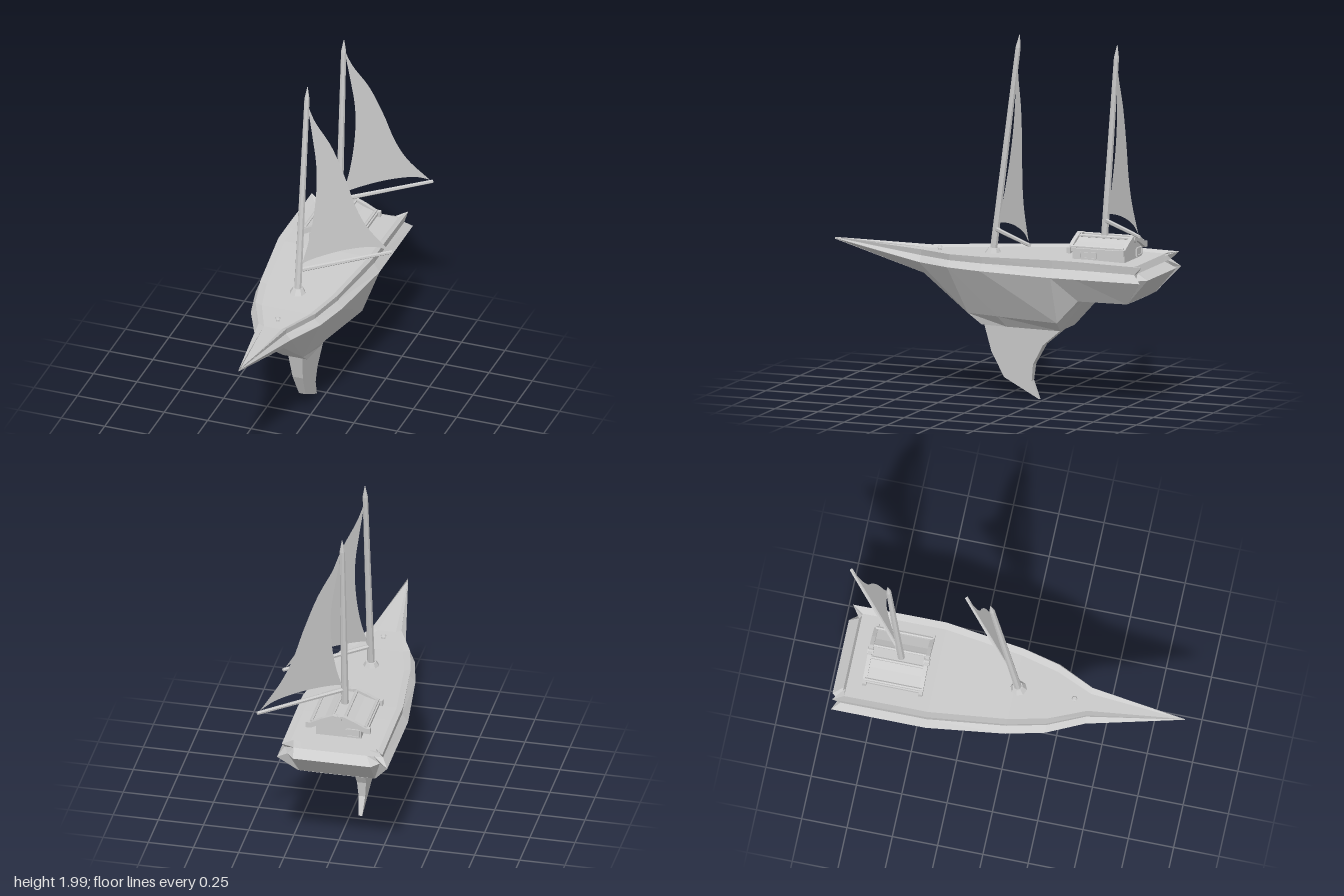
import * as THREE from 'three';

const CX = -0.055; // centreline of the boat
const mat = new THREE.MeshStandardMaterial({ color: 0xcccccc, flatShading: true });
const thinMat = new THREE.MeshStandardMaterial({ color: 0xcccccc, side: THREE.DoubleSide });

function add(parent, name, geo, material = mat) {
  const m = new THREE.Mesh(geo, material);
  m.name = name;
  parent.add(m);
  return m;
}

// Tapered rod between two points
function rod(parent, name, a, b, r0, r1, sides = 8) {
  const dir = new THREE.Vector3().subVectors(b, a);
  const m = add(parent, name, new THREE.CylinderGeometry(r1, r0, dir.length(), sides));
  m.position.addVectors(a, b).multiplyScalar(0.5);
  m.quaternion.setFromUnitVectors(new THREE.Vector3(0, 1, 0), dir.normalize());
  return m;
}

function box(parent, name, w, h, d, x, y, z) {
  const m = add(parent, name, new THREE.BoxGeometry(w, h, d));
  m.position.set(x, y, z);
  return m;
}

// Hull lofted from bow to stern; each row holds z, half width, y of rail,
// y of rim, then z, half width, y of bilge and of keel
function hullGeometry() {
  const stations = [
    [0.97, 0, 0.815, 0.822, 0.97, 0, 0.812, 0.97, 0, 0.812],
    [0.44, 0.105, 0.735, 0.802, 0.43, 0.06, 0.67, 0.43, 0.05, 0.668],
    [0.24, 0.2, 0.735, 0.803, 0.17, 0.075, 0.47, 0.09, 0.07, 0.41],
    [0.03, 0.25, 0.735, 0.81, -0.02, 0.122, 0.47, -0.06, 0.085, 0.41],
    [-0.4, 0.305, 0.735, 0.828, -0.4, 0.205, 0.47, -0.38, 0.11, 0.41],
    [-0.54, 0.305, 0.735, 0.828, -0.53, 0.225, 0.602, -0.53, 0.11, 0.6],
    [-0.92, 0.305, 0.735, 0.82, -0.81, 0.215, 0.602, -0.81, 0.11, 0.6],
    [-0.88, 0.255, 0.74, 0.815, -0.81, 0.21, 0.602, -0.81, 0.11, 0.6],
    [-0.93, 0.215, 0.74, 0.812, -0.81, 0.205, 0.602, -0.81, 0.11, 0.6],
  ];
  const rings = stations.map(([z, w, y, top, bz, bw, by, kz, kw, ky], i) => {
    const inset = Math.min(0.03, w * 0.25);
    const g = y + (top - y) * 0.5;
    const tz = i < 6 ? z : i === 6 ? -0.92 : -0.86;
    const gz = i < 6 ? z : -0.875;
    const half = [
      [w - inset * 2.1, top - 0.012, i < 6 ? z : -0.86],
      [w - inset * 0.9, top, tz],
      [w - inset * 1.1, g, gz],
      [w, y, z], [bw, by, bz], [kw, ky, kz],
    ];
    const port = half.map(([x, h, d]) => new THREE.Vector3(CX + x, h, d));
    const starboard = half.map(([x, h, d]) => new THREE.Vector3(CX - x, h, d)).reverse();
    return [...port, ...starboard];
  });
  const pos = [];
  const tri = (...p) => p.forEach((v) => pos.push(v.x, v.y, v.z));
  const n = rings[0].length;
  for (let i = 0; i < rings.length - 1; i++) {
    for (let j = 0; j < n; j++) {
      const k = (j + 1) % n;
      const [a, b, c, d] = [rings[i][j], rings[i][k], rings[i + 1][k], rings[i + 1][j]];
      tri(a, b, c);
      tri(a, c, d);
    }
  }
  // Transom: strips across the last ring
  const last = rings[rings.length - 1];
  for (let j = 0; j < n / 2 - 1; j++) {
    const [a, b, c, d] = [last[j], last[j + 1], last[n - 2 - j], last[n - 1 - j]];
    tri(a, b, c);
    tri(a, c, d);
  }
  const geo = new THREE.BufferGeometry();
  geo.setAttribute('position', new THREE.Float32BufferAttribute(pos, 3));
  geo.computeVertexNormals();
  return geo;
}

// Swept fin below the hull, thinner towards its tip
function finGeometry() {
  const pts = [[0.09, 0.42], [0.05, 0.26], [-0.02, 0.12], [-0.22, 0.01],
    [-0.18, 0.11], [-0.19, 0.2], [-0.25, 0.31], [-0.38, 0.42]];
  const geo = new THREE.ExtrudeGeometry(new THREE.Shape(pts.map((p) => new THREE.Vector2(...p))),
    { depth: 2, bevelEnabled: false });
  geo.translate(0, 0, -1).rotateY(-Math.PI / 2);
  const p = geo.attributes.position;
  for (let i = 0; i < p.count; i++) {
    p.setX(i, CX + p.getX(i) * (0.01 + 0.075 * p.getY(i)));
  }
  geo.computeVertexNormals();
  return geo;
}

// Mast with pointed top, boom swung to the left, and a curved sail
function rig(parent, name, foot, head, boomY, sailTop) {
  const g = new THREE.Group();
  g.name = name;
  parent.add(g);
  const swing = new THREE.Vector2(0.405, -0.355);
  const at = (y) => new THREE.Vector3().lerpVectors(foot, head, (y - foot.y) / (head.y - foot.y));
  const neck = at(head.y - 0.07);
  rod(g, 'mast', foot, neck, 0.021, 0.015);
  rod(g, 'mastTip', neck, head, 0.015, 0.002);
  const start = at(boomY);
  const end = start.clone().add(new THREE.Vector3(swing.x, 0, swing.y));
  rod(g, 'boom', start, end, 0.013, 0.01, 6);

  const h = sailTop - boomY;
  const Y = (t) => boomY + 0.012 + t * h;
  const s = new THREE.Shape();
  s.moveTo(0.02, Y(0));
  s.splineThru([[0.07, 0.03], [0.3, 0.05], [0.55, 0.055], [0.8, 0.04], [0.97, 0]]
    .map(([x, t]) => new THREE.Vector2(x, Y(t))));
  s.splineThru([[0.73, 0.16], [0.58, 0.31], [0.45, 0.5], [0.29, 0.7], [0.1, 0.87], [0, 1]]
    .map(([x, t]) => new THREE.Vector2(x, Y(t))));
  s.splineThru([[0.08, 0.78], [0.14, 0.58], [0.145, 0.38], [0.1, 0.17], [0.02, 0]]
    .map(([x, t]) => new THREE.Vector2(x, Y(t))));
  const geo = new THREE.ShapeGeometry(s, 6);
  const p = geo.attributes.position;
  for (let i = 0; i < p.count; i++) {
    const u = p.getX(i);
    const m = at(p.getY(i));
    p.setXYZ(i, m.x + u * swing.x, m.y, m.z + u * swing.y);
  }
  geo.computeVertexNormals();
  add(g, 'sail', geo, thinMat);
}

// Gable-shaped band following the roof line, with flared ends
function gable(parent, name, half, peak, thick, depth, z, flare) {
  const upper = [[half, 0.882 + flare], [half * 0.84, 0.887], [half * 0.5, peak - 0.024], [0.03, peak]];
  const lower = upper.map(([x, y]) => [x, y - thick]);
  const right = [...lower].reverse().concat(upper);
  const left = [...upper].reverse().map(([x, y]) => [-x, y])
    .concat(lower.map(([x, y]) => [-x, y]));
  const shape = new THREE.Shape([...right, ...left].map((q) => new THREE.Vector2(...q)));
  const m = add(parent, name, new THREE.ExtrudeGeometry(shape, { depth, bevelEnabled: false }));
  m.position.set(CX, 0, z - depth / 2);
}

function buildCabin(parent) {
  const g = new THREE.Group();
  g.name = 'cabin';
  parent.add(g);
  const midZ = -0.61;
  // Walls with a gabled top
  const wall = new THREE.Shape([[-0.125, 0.8], [0.125, 0.8], [0.125, 0.885], [0, 0.925], [-0.125, 0.885]]
    .map((q) => new THREE.Vector2(...q)));
  add(g, 'cabinWalls', new THREE.ExtrudeGeometry(wall, { depth: 0.3, bevelEnabled: false }))
    .position.set(CX, 0, midZ - 0.15);
  gable(g, 'roof', 0.165, 0.928, 0.016, 0.3, midZ, 0);
  for (const z of [-0.455, -0.765]) {
    gable(g, 'bargeBoard', 0.178, 0.942, 0.032, 0.022, z, 0.004);
    rod(g, 'ridgeEnd', new THREE.Vector3(CX, 0.925, z - 0.016), new THREE.Vector3(CX, 0.925, z + 0.016), 0.02, 0.02, 10);
  }
  const bar = (x, y, r) => rod(g, 'roofRail', new THREE.Vector3(CX + x, y, -0.765),
    new THREE.Vector3(CX + x, y, -0.455), r, r, 6);
  for (const side of [-1, 1]) {
    bar(side * 0.15, 0.888, 0.009);
    bar(side * 0.035, 0.929, 0.009);
  }
  // Framed windows on both ends and both sides
  const frame = (w, h, x, y, z, turn) => {
    const win = new THREE.Group();
    win.name = 'window';
    win.position.set(x, y, z);
    win.rotation.y = turn;
    g.add(win);
    for (const s of [-1, 1]) {
      box(win, 'windowFrame', w, 0.008, 0.014, 0, s * (h / 2), 0);
      box(win, 'windowFrame', 0.008, h, 0.014, s * (w / 2), 0, 0);
    }
    box(win, 'windowPane', w, h, 0.005, 0, 0, 0);
  };
  for (const z of [-0.458, -0.762]) frame(0.07, 0.04, CX - 0.08, 0.842, z, 0);
  for (const s of [-1, 1]) frame(0.09, 0.03, CX + s * 0.126, 0.838, -0.55, Math.PI / 2);
}

export function createModel() {
  const boat = new THREE.Group();
  boat.name = 'sailboat';
  add(boat, 'hull', hullGeometry());
  add(boat, 'keelFin', finGeometry());
  buildCabin(boat);

  const v = (y, z) => new THREE.Vector3(CX, y, z);
  rig(boat, 'mainRig', v(0.8, 0.05), v(2, -0.103), 0.926, 1.9);
  rig(boat, 'aftRig', v(0.88, -0.593), v(1.98, -0.67), 1.015, 1.92);

  // Mast collar and foredeck cleat
  rod(boat, 'mastCollar', v(0.788, 0.05), v(0.825, 0.046), 0.05, 0.028, 8);
  rod(boat, 'cleatPost', v(0.785, 0.36), v(0.806, 0.36), 0.012, 0.009, 8);
  rod(boat, 'cleatCap', v(0.804, 0.36), v(0.813, 0.36), 0.016, 0.01, 8);
  return boat;
}
